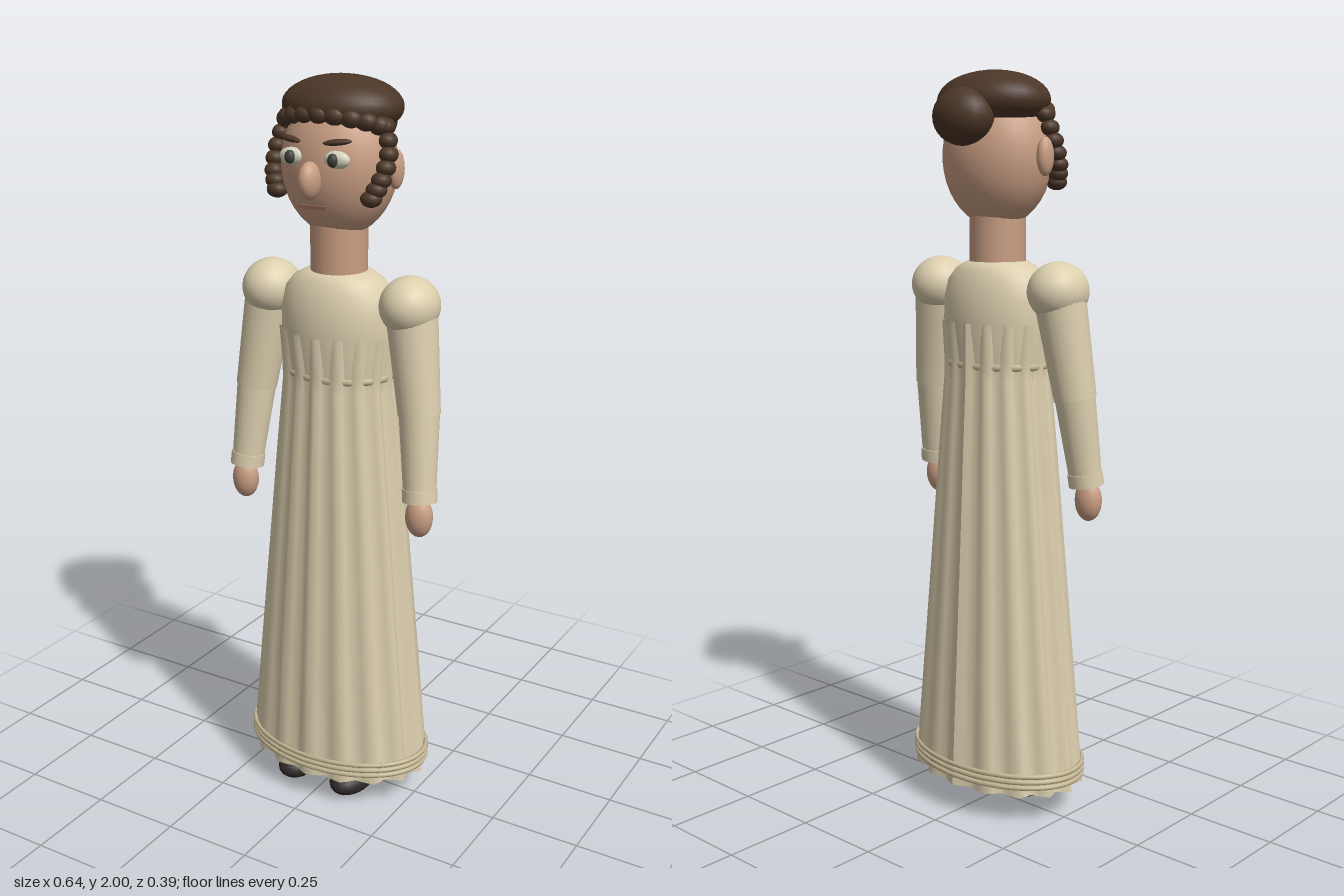
import * as THREE from 'three';

const mat = (name, color, side = THREE.FrontSide) => {
  const m = new THREE.MeshStandardMaterial({ color, side });
  m.name = name;
  return m;
};

export function createModel() {
  const root = new THREE.Group();
  root.name = 'womanInLongDress';
  const cream = mat('cream cloth', 0xdccfae, THREE.DoubleSide);
  const trim = mat('trim cloth', 0xc4b793);
  const skin = mat('skin', 0xc99e83);
  const hair = mat('hair brown', 0x4b3627);
  const shoe = mat('shoe black', 0x302a2a);
  const white = mat('eye white', 0xd6d4c0);
  const iris = mat('iris', 0x3f3f3a);
  const lip = mat('lip', 0x8a5f50);

  const add = (name, geo, material, pos = [0, 0, 0], parent = root) => {
    const m = new THREE.Mesh(geo, material);
    m.name = name;
    m.position.set(...pos);
    parent.add(m);
    return m;
  };
  const ball = (name, material, pos, r, parent = root, seg = 24) => {
    const m = add(name, new THREE.SphereGeometry(1, seg, Math.round(seg * 0.67)), material, pos, parent);
    m.scale.set(...r);
    return m;
  };
  // tapered round limb between two points
  const limb = (name, material, a, b, ra, rb, parent = root) => {
    const A = new THREE.Vector3(...a), B = new THREE.Vector3(...b);
    const d = B.clone().sub(A);
    const m = add(name, new THREE.CylinderGeometry(rb, ra, d.length(), 24), material,
      A.clone().add(B).multiplyScalar(0.5).toArray(), parent);
    m.quaternion.setFromUnitVectors(new THREE.Vector3(0, 1, 0), d.normalize());
    return m;
  };
  // oval body from rows of [y, half width, half depth], fluted by a share of the radius
  const ovalBody = (rows, flutes = 0, depth = 0) => {
    const g = new THREE.LatheGeometry(rows.map(([y, rx]) => new THREE.Vector2(rx, y)), 64, Math.PI);
    const p = g.attributes.position;
    for (let i = 0; i < p.count; i++) {
      const [, rx, rz] = rows[i % rows.length];
      const a = Math.atan2(p.getX(i), p.getZ(i));
      const k = 1 - depth * (0.5 - 0.5 * Math.cos(flutes * a));
      p.setX(i, p.getX(i) * k);
      p.setZ(i, p.getZ(i) * k * (rx > 0 ? rz / rx : 1) + 0.005);
    }
    g.computeVertexNormals();
    return g;
  };
  // oval ring lying flat
  const ring = (name, y, rx, rz, tube) => {
    const g = new THREE.TorusGeometry(1, tube / rx, 8, 64);
    g.rotateX(Math.PI / 2);
    add(name, g, trim, [0, y, 0.005]).scale.set(rx, rx, rz);
  };

  // Dress
  add('skirt', ovalBody([
    [0.08, 0, 0], [0.08, 0.273, 0.186], [0.08, 0.273, 0.186], [0.4, 0.242, 0.169], [0.7, 0.212, 0.153],
    [1.0, 0.182, 0.138], [1.2, 0.161, 0.127], [1.25, 0.161, 0.126], [1.35, 0.17, 0.127],
  ], 16, 0.1), cream);
  add('bodice', ovalBody([
    [1.15, 0.14, 0.105], [1.25, 0.151, 0.116], [1.35, 0.162, 0.122], [1.41, 0.161, 0.12],
    [1.46, 0.15, 0.108], [1.49, 0.125, 0.093], [1.508, 0.09, 0.08], [1.512, 0.05, 0.05], [1.512, 0, 0],
  ]), cream);
  ring('sash', 1.237, 0.145, 0.111, 0.011);
  for (const y of [0.108, 0.124, 0.14]) ring('hemBand', y, 0.27, 0.182, 0.007);

  // Neck and head
  add('neck', new THREE.CylinderGeometry(0.075, 0.075, 0.17, 24), skin, [0, 1.57, 0.005]);
  const head = new THREE.Group();
  head.name = 'head';
  root.add(head);
  ball('face', skin, [0, 1.782, 0.003], [0.155, 0.185, 0.133], head, 32);
  ball('nose', skin, [0, 1.757, 0.147], [0.027, 0.047, 0.038], head);
  add('mouth', new THREE.BoxGeometry(0.08, 0.009, 0.009), lip, [0, 1.69, 0.135], head);

  // Hair
  ball('hairCap', hair, [0, 1.924, -0.012], [0.163, 0.077, 0.128], head, 32);
  ball('bun', hair, [0, 1.88, -0.127], [0.088, 0.074, 0.07], head);
  for (let i = -4; i <= 4; i++) {
    const a = i * 0.29;
    ball('fringeCurl', hair, [0.145 * Math.sin(a), 1.912 - 0.0015 * i * i, 0.1 * Math.cos(a) - 0.002],
      [0.03, 0.024, 0.026], head, 16);
  }

  for (const s of [1, -1]) {
    const side = s > 0 ? 'left' : 'right';
    // Face details
    ball(side + 'Ear', skin, [s * 0.164, 1.78, 0.004], [0.02, 0.05, 0.026], head);
    ball(side + 'EyeWhite', white, [s * 0.065, 1.81, 0.123], [0.036, 0.022, 0.017], head);
    ball(side + 'Iris', iris, [s * 0.062, 1.81, 0.139], [0.014, 0.017, 0.012], head, 16);
    const brow = ball(side + 'Brow', hair, [s * 0.068, 1.853, 0.127], [0.037, 0.008, 0.012], head, 16);
    brow.rotation.set(0, s * 0.3, s * 0.1);

    // Hanging curls beside the face
    const strand = new THREE.CatmullRomCurve3([
      [0.147, 1.885, 0.025], [0.163, 1.82, 0.04], [0.157, 1.76, 0.065], [0.138, 1.715, 0.082],
    ].map(([x, y, z]) => new THREE.Vector3(s * x, y, z)));
    for (let i = 0; i < 7; i++) {
      ball(side + 'Curl', hair, strand.getPoint(i / 6).toArray(), [0.022 + i * 0.001, 0.021, 0.027], head, 16);
    }

    // Arm
    const arm = new THREE.Group();
    arm.name = side + 'Arm';
    root.add(arm);
    const elbow = [s * 0.254, 1.16, 0.025], wrist = [s * 0.273, 0.94, 0.05];
    ball('puffSleeve', cream, [s * 0.21, 1.438, 0.005], [0.078, 0.077, 0.086], arm, 32);
    limb('upperSleeve', cream, [s * 0.216, 1.42, 0.005], elbow, 0.068, 0.056, arm);
    limb('lowerSleeve', cream, [s * 0.253, 1.17, 0.024], wrist, 0.054, 0.043, arm);
    limb('cuff', cream, [s * 0.271, 0.965, 0.047], [s * 0.274, 0.93, 0.051], 0.047, 0.047, arm);
    ball('hand', skin, [s * 0.276, 0.888, 0.057], [0.038, 0.056, 0.033], arm);

    // Shoe
    ball(side + 'Shoe', shoe, [s * 0.087, 0.042, 0.07], [0.058, 0.042, 0.095]);
  }
  return root;
}
